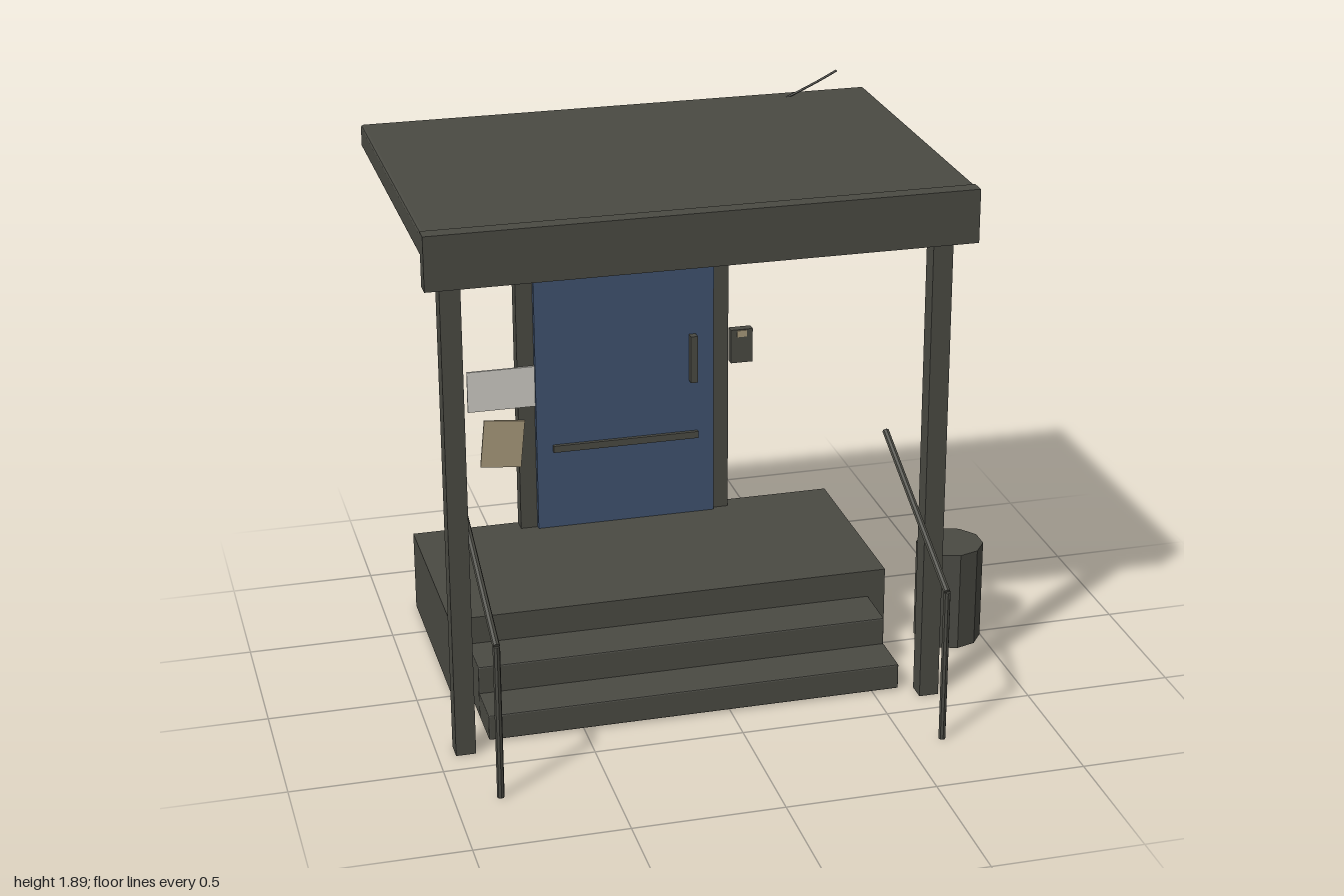
import * as THREE from 'three';
import { RoundedBoxGeometry } from 'three/addons/geometries/RoundedBoxGeometry.js';

const material = (name, color, extra = {}) => {
  const m = new THREE.MeshStandardMaterial({ color, ...extra });
  m.name = name;
  return m;
};

export function createModel() {
  const porch = new THREE.Group();
  porch.name = 'porch';

  const grey = material('weathered grey', 0x4a4a43, { flatShading: true });
  const blue = material('door blue', 0x40536f);
  const white = material('sign white', 0xcfcdc6);
  const tan = material('paper tan', 0xa89a7c);

  const add = (name, geometry, mat) => {
    const mesh = new THREE.Mesh(geometry, mat);
    mesh.name = name;
    porch.add(mesh);
    return mesh;
  };
  // Box given by its lower and upper limits; an optional bevel chamfers the edges
  const box = (name, mat, [x0, x1], [y0, y1], [z0, z1], bevel = 0) => {
    const size = [x1 - x0, y1 - y0, z1 - z0];
    const geometry = bevel
      ? new RoundedBoxGeometry(...size, 1, bevel)
      : new THREE.BoxGeometry(...size);
    const mesh = add(name, geometry, mat);
    mesh.position.set((x0 + x1) / 2, (y0 + y1) / 2, (z0 + z1) / 2);
    return mesh;
  };
  // Straight round bar between two points
  const bar = (name, a, b, radius) => {
    const dir = b.clone().sub(a);
    const mesh = add(name, new THREE.CylinderGeometry(radius, radius, dir.length(), 8), grey);
    mesh.position.copy(a).add(b).multiplyScalar(0.5);
    mesh.quaternion.setFromUnitVectors(new THREE.Vector3(0, 1, 0), dir.normalize());
  };

  // Platform and steps
  box('platform', grey, [-0.88, 0.65], [0, 0.285], [-0.71, 0]);
  box('upperStep', grey, [-0.82, 0.59], [0.005, 0.19], [0, 0.18], 0.005);
  box('lowerStep', grey, [-0.82, 0.59], [0.005, 0.095], [0.18, 0.345], 0.005);

  // Canopy
  box('roof', grey, [-1, 0.765], [1.73, 1.81], [-0.71, 0.46], 0.009);
  box('fascia', grey, [-1, 0.765], [1.635, 1.812], [0.438, 0.492]);

  // Posts and handrails, mirrored about the middle of the door
  const middle = -0.116;
  for (const side of [-1, 1]) {
    const post = middle + side * 0.793;
    box('post', grey, [post - 0.033, post + 0.033], [0, 1.732], [0.344, 0.41]);
    const x = middle + side * 0.737;
    const foot = new THREE.Vector3(x, 0, 0.704);
    const bend = new THREE.Vector3(x, 0.532, 0.704);
    const end = new THREE.Vector3(x, 0.83, 0.055);
    bar('railUpright', foot, bend, 0.012);
    bar('handrail', bend, end, 0.012);
  }

  // Door wall, door and fittings
  box('doorWall', grey, [-0.5, 0.265], [0.28, 1.582], [-0.71, -0.655]);
  box('door', blue, [-0.44, 0.206], [0.287, 1.492], [-0.656, -0.634]);
  box('doorHandle', grey, [0.115, 0.14], [0.8, 0.975], [-0.636, -0.604]);
  box('pushBar', grey, [-0.382, 0.146], [0.58, 0.605], [-0.636, -0.62]);

  // Entry keypad with a small label
  box('keypad', grey, [0.265, 0.345], [0.855, 0.98], [-0.65, -0.618]);
  box('keypadLabel', tan, [0.288, 0.323], [0.953, 0.977], [-0.619, -0.614]);

  // Notices beside the door
  box('whiteNotice', white, [-0.68, -0.44], [0.755, 0.905], [-0.653, -0.645]);
  box('tanNotice', tan, [-0.633, -0.487], [0.535, 0.711], [-0.653, -0.645]).rotation.z = -0.1;

  // Lamp over the door
  box('lampHousing', grey, [-0.21, -0.025], [1.612, 1.716], [-0.655, -0.59]);
  box('lampLens', white, [-0.2, -0.035], [1.622, 1.686], [-0.591, -0.569]);

  // Loose cable from the lamp up past the roof
  const cable = new THREE.QuadraticBezierCurve3(
    new THREE.Vector3(-0.05, 1.702, -0.655),
    new THREE.Vector3(0.3, 1.705, -0.655),
    new THREE.Vector3(0.65, 1.89, -0.655)
  );
  add('cable', new THREE.TubeGeometry(cable, 20, 0.004, 6), grey);

  // Ten-sided bin beside the platform
  add('bin', new THREE.CylinderGeometry(0.116, 0.116, 0.356, 10), grey)
    .position.set(0.888, 0.178, -0.009);

  return porch;
}
